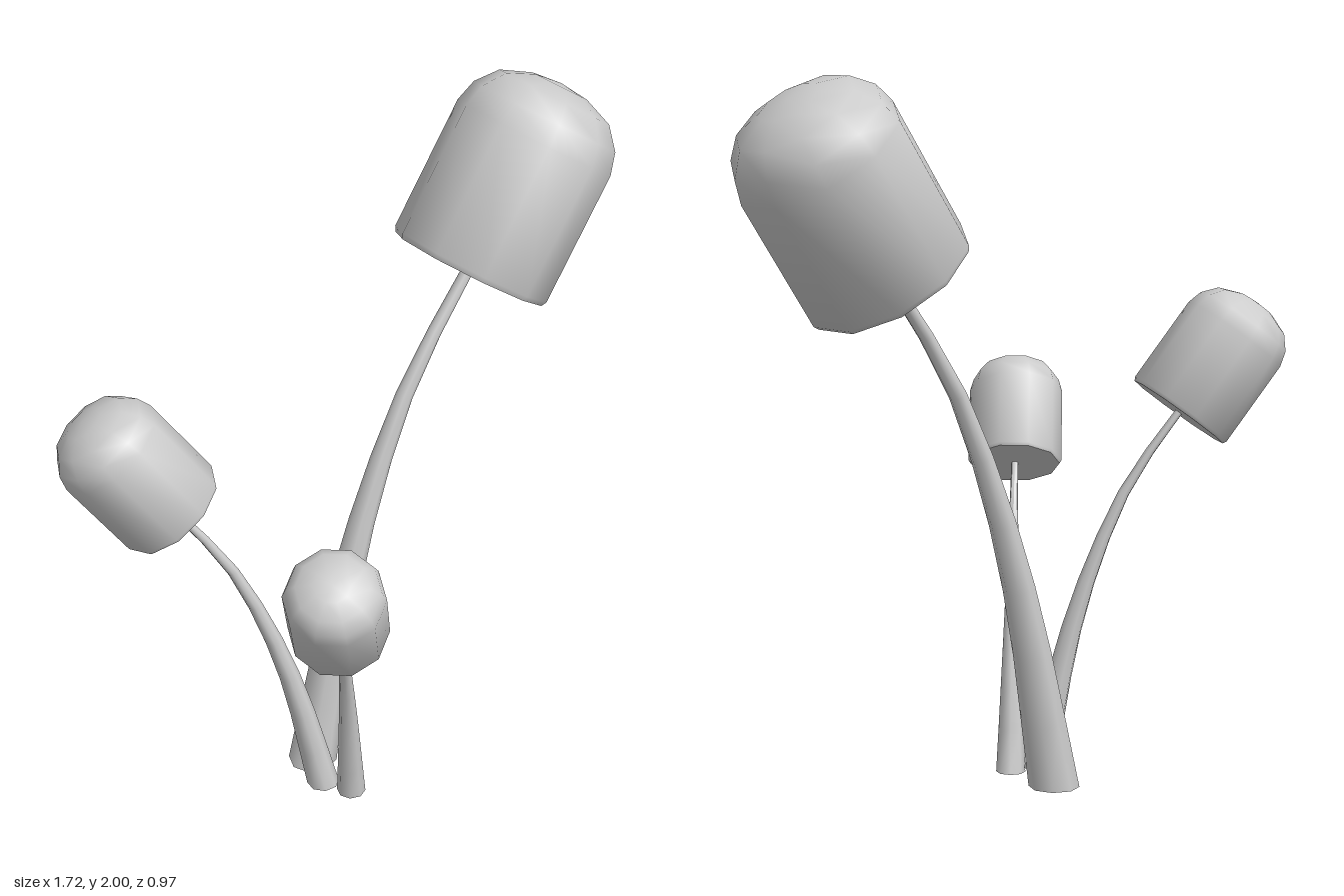
import * as THREE from 'three';
import { toCreasedNormals } from 'three/addons/utils/BufferGeometryUtils.js';

const material = new THREE.MeshStandardMaterial({ color: 0xcccccc });

// Tapered stem: a cylinder bent along a curve that leans towards +x
function stemGeometry(reach, height, radius) {
  const curve = new THREE.CatmullRomCurve3(
    [[0, 0], [0.08, 0.15], [0.2, 0.36], [0.4, 0.6], [0.65, 0.81], [1, 1]]
      .map(([x, y]) => new THREE.Vector3(x * reach, y * height, 0)));
  const geometry = new THREE.CylinderGeometry(1, 1, 1, 8, 8);
  const pos = geometry.attributes.position;
  for (let i = 0; i < pos.count; i++) {
    const t = THREE.MathUtils.clamp(pos.getY(i) + 0.5, 0, 1);
    const p = curve.getPointAt(t);
    // The foot is cut level, the rest follows the curve
    const d = t < 0.01 ? new THREE.Vector3(0, 1, 0) : curve.getTangentAt(t);
    const r = radius * (0.24 + 0.76 * Math.pow(1 - t, 1.4));
    const x = pos.getX(i) * r;
    pos.setXYZ(i, p.x + d.y * x, p.y - d.x * x, pos.getZ(i) * r);
  }
  return toCreasedNormals(geometry, 1);
}

// Tall domed cap with a flat underside, base at the origin
function capGeometry() {
  const profile = [
    [0, 0], [0.231, 0], [0.24, 0.015], [0.24, 0.41], [0.222, 0.475],
    [0.172, 0.535], [0.085, 0.569], [0, 0.578],
  ].map(([r, y]) => new THREE.Vector2(r, y));
  return toCreasedNormals(new THREE.LatheGeometry(profile, 10), 0.8);
}

function mushroom({ name, foot, tip, radius, capScale, tilt }) {
  const [dx, dy, dz] = tip.map((v, i) => v - foot[i]);
  const reach = Math.hypot(dx, dz);
  const group = new THREE.Group();
  group.name = name;
  group.position.set(...foot);
  group.rotation.y = Math.atan2(-dz, dx);

  const stem = new THREE.Mesh(stemGeometry(reach, dy, radius), material);
  stem.name = 'stem';
  const cap = new THREE.Mesh(capGeometry(), material);
  cap.name = 'cap';
  cap.position.set(reach, dy, 0);
  cap.rotation.z = -tilt;
  cap.scale.setScalar(capScale);
  group.add(stem, cap);
  return group;
}

export function createModel() {
  const model = new THREE.Group();
  model.name = 'mushroomCluster';
  model.add(
    mushroom({ name: 'largeMushroom', foot: [-0.17, 0, -0.18], tip: [0.415, 1.47, -0.18],
      radius: 0.072, capScale: 1, tilt: 0.61 }),
    mushroom({ name: 'mediumMushroom', foot: [-0.228, 0.02, -0.055], tip: [-0.578, 1.04, -0.25],
      radius: 0.047, capScale: 0.665, tilt: 0.635 }),
    mushroom({ name: 'smallMushroom', foot: [-0.175, 0.003, 0.012], tip: [-0.41, 0.849, 0.267],
      radius: 0.042, capScale: 0.575, tilt: 0.57 }),
  );
  return model;
}
